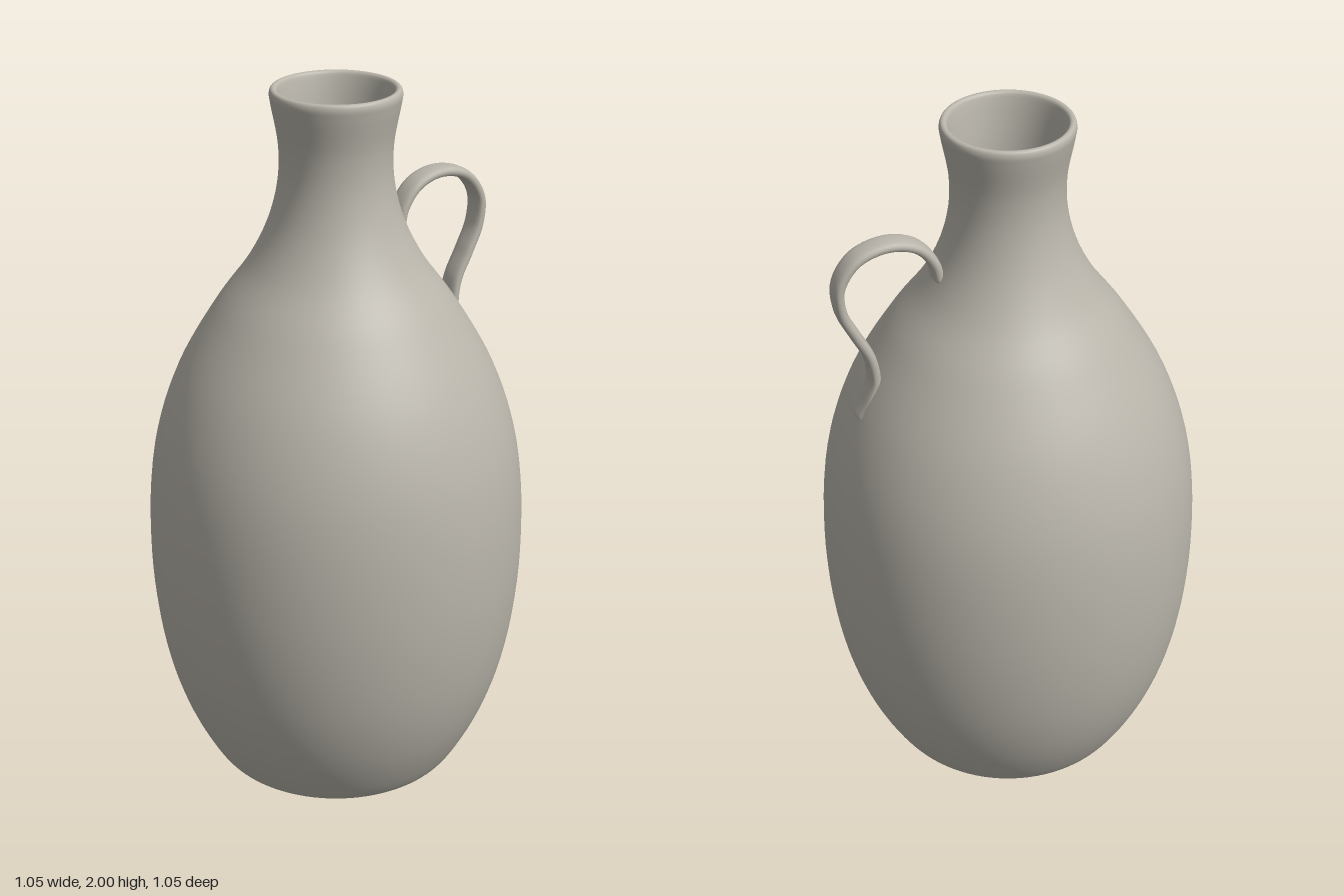
import * as THREE from 'three';

// Smooth curve through [x, y] pairs
const curveOf = (pts) =>
  new THREE.CatmullRomCurve3(pts.map(([x, y]) => new THREE.Vector3(x, y, 0)), false, 'centripetal');

// Rounded flat strap swept along a curve in the xy plane, with domed ends
function strap(curve, steps, sides, sizeAt) {
  const pos = [], index = [];
  for (let i = 0; i <= steps; i++) {
    const t = i / steps;
    const p = curve.getPointAt(t), d = curve.getTangentAt(t);
    const [thick, wide] = sizeAt(t);
    for (let j = 0; j < sides; j++) {
      const a = (j / sides) * Math.PI * 2;
      const c = Math.cos(a), s = Math.sin(a);
      const u = Math.sign(c) * Math.abs(c) ** 0.75 * thick;
      const w = Math.sign(s) * Math.abs(s) ** 0.75 * wide;
      pos.push(p.x - d.y * u, p.y + d.x * u, w);
    }
  }
  for (let i = 0; i < steps; i++) {
    for (let j = 0; j < sides; j++) {
      const k = (j + 1) % sides;
      const a = i * sides + j, b = i * sides + k;
      index.push(a, b, a + sides, b, b + sides, a + sides);
    }
  }
  // End caps
  for (const [row, t, flip] of [[0, 0, true], [steps * sides, 1, false]]) {
    const p = curve.getPointAt(t), centre = pos.length / 3;
    pos.push(p.x, p.y, 0);
    for (let j = 0; j < sides; j++) {
      const a = row + j, b = row + ((j + 1) % sides);
      index.push(centre, flip ? b : a, flip ? a : b);
    }
  }
  const geo = new THREE.BufferGeometry();
  geo.setAttribute('position', new THREE.Float32BufferAttribute(pos, 3));
  geo.setIndex(index);
  geo.computeVertexNormals();
  return geo;
}

export function createModel() {
  const model = new THREE.Group();
  model.name = 'jug';
  const clay = new THREE.MeshStandardMaterial({ color: 0xb9b5ab, side: THREE.DoubleSide });
  clay.name = 'pale grey clay';

  // Body: recessed base, outer wall, rounded lip, then the hollow inside
  const profile = curveOf([
    [0, 0.02], [0.27, 0.02], [0.285, 0.014], [0.298, 0.003], [0.315, 0], [0.338, 0.008], [0.36, 0.03],
    [0.438, 0.18], [0.497, 0.38], [0.527, 0.67], [0.507, 0.98], [0.44, 1.2],
    [0.327, 1.4], [0.235, 1.53], [0.182, 1.64], [0.155, 1.75], [0.153, 1.85],
    [0.172, 1.96], [0.175, 1.985], [0.171, 1.997], [0.164, 2], [0.157, 1.997], [0.152, 1.985],
    [0.133, 1.86], [0.134, 1.75], [0.16, 1.64], [0.212, 1.53], [0.303, 1.4],
    [0.415, 1.2], [0.482, 0.98], [0.502, 0.67], [0.473, 0.38], [0.415, 0.18],
    [0.34, 0.06], [0.3, 0.045], [0, 0.045],
  ]).getPoints(210).map((p) => new THREE.Vector2(Math.max(p.x, 0), Math.max(p.y, 0)));
  const body = new THREE.Mesh(new THREE.LatheGeometry(profile, 96), clay);
  body.name = 'body';
  model.add(body);

  // Handle: a thin looping strap that widens at its lower end
  const path = curveOf([
    [0.197, 1.575], [0.212, 1.635], [0.258, 1.69], [0.335, 1.712], [0.42, 1.688],
    [0.469, 1.62], [0.467, 1.54], [0.432, 1.46], [0.396, 1.385], [0.386, 1.31],
    [0.404, 1.25], [0.432, 1.19],
  ]);
  const length = path.getLength();
  const handleGeo = strap(path, 160, 20, (t) => {
    const fromEnd = Math.min(t, 1 - t) * length;
    const dome = Math.sqrt(Math.max(0.04, 1 - Math.max(0, 1 - fromEnd / 0.014) ** 2));
    const flare = THREE.MathUtils.smoothstep(t, 0.7, 1);
    return [0.015 * dome, (0.034 + 0.006 * flare) * (0.7 + 0.3 * dome)];
  });
  const handle = new THREE.Mesh(handleGeo, clay);
  handle.name = 'handle';
  model.add(handle);

  return model;
}
